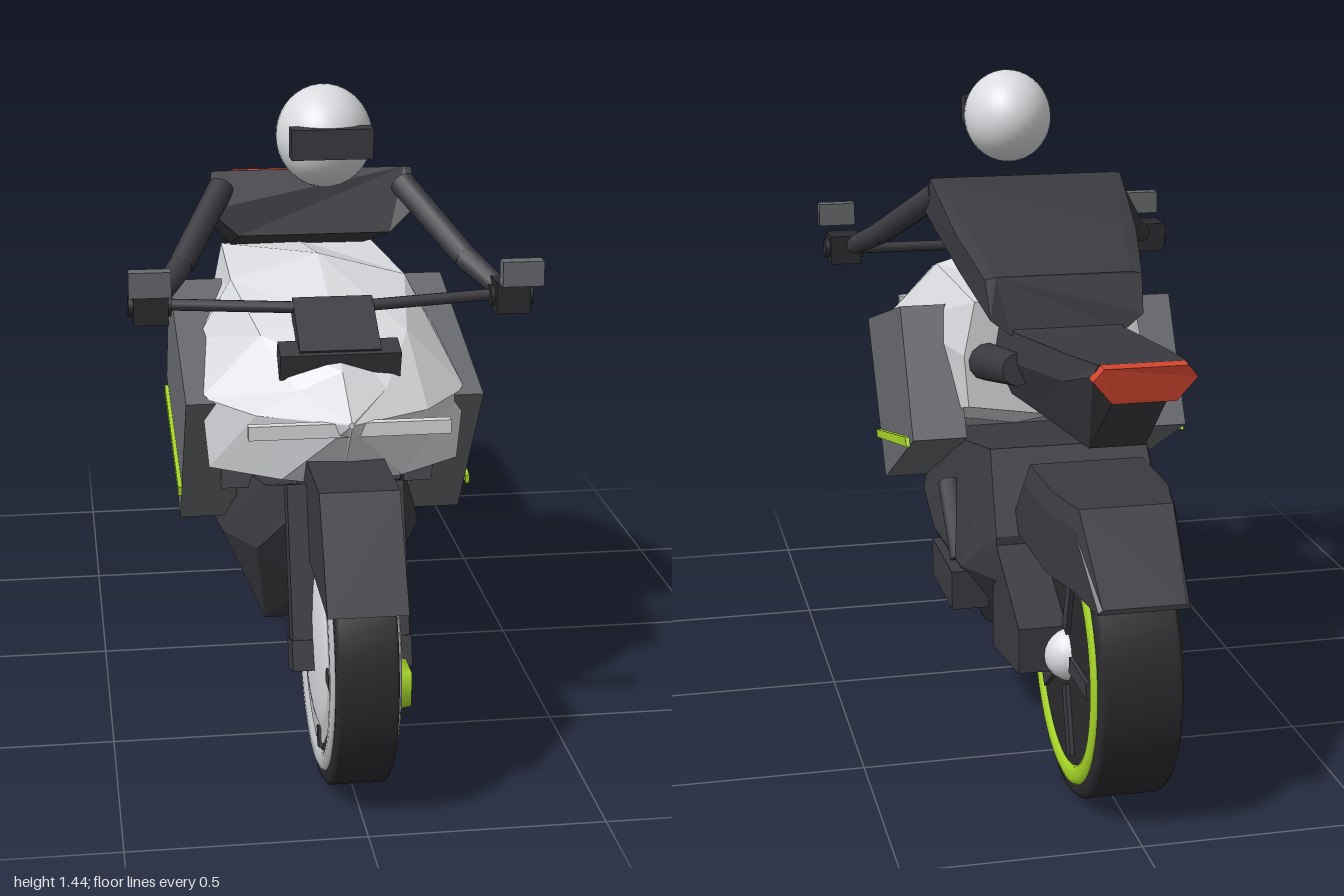
import * as THREE from 'three';

const mat = (name, color) => Object.assign(new THREE.MeshStandardMaterial({ color }), { name });

export function createModel() {
  const root = new THREE.Group();
  root.name = 'motorcycle';
  const white = mat('white paint', 0xdadcdf);
  const silver = mat('silver metal', 0xbcbdc0);
  const grey = mat('grey panel', 0x67696d);
  const dark = mat('dark body', 0x3b3a40);
  const black = mat('black rubber', 0x2b2b2f);
  const green = mat('lime accent', 0xa6d628);
  const red = mat('red light', 0xd2452f);

  const add = (name, geo, material, parent = root) => {
    const m = new THREE.Mesh(geo, material);
    m.name = name;
    parent.add(m);
    return m;
  };
  // box from its centre and size
  const box = (name, [x, y, z], [w, h, d], material, parent) => {
    const m = add(name, new THREE.BoxGeometry(w, h, d), material, parent);
    m.position.set(x, y, z);
    return m;
  };
  // round bar between two points
  const bar = (name, a, b, r0, r1, material, sides = 12) => {
    const A = new THREE.Vector3(...a), B = new THREE.Vector3(...b);
    const dir = B.clone().sub(A);
    const m = add(name, new THREE.CylinderGeometry(r1, r0, dir.length(), sides), material);
    m.position.copy(A).add(B).multiplyScalar(0.5);
    m.quaternion.setFromUnitVectors(new THREE.Vector3(0, 1, 0), dir.normalize());
    return m;
  };
  // side outline given as [z, y], extruded from x0 to x1
  const plate = (name, pts, x0, x1, material) => {
    const shape = new THREE.Shape(pts.map(([z, y]) => new THREE.Vector2(z, y)));
    const geo = new THREE.ExtrudeGeometry(shape, { depth: x1 - x0, bevelEnabled: false });
    geo.rotateY(-Math.PI / 2).translate(x1, 0, 0);
    return add(name, geo, material);
  };
  // faceted skin over mirrored half sections, front to back, each top to bottom
  const loft = (name, halves, material) => {
    const rings = halves.map(h => [
      ...h, ...h.filter(p => p[0] > 0).reverse().map(([x, y, z]) => [-x, y, z]),
    ]);
    const n = rings[0].length, pos = [];
    const tri = (...ps) => ps.forEach(p => pos.push(...p));
    for (let i = 0; i < rings.length - 1; i++) {
      for (let j = 0; j < n; j++) {
        const k = (j + 1) % n, A = rings[i], B = rings[i + 1];
        tri(A[j], A[k], B[j]);
        tri(A[k], B[k], B[j]);
      }
    }
    const F = rings[0], R = rings[rings.length - 1];
    for (let j = 1; j < n - 1; j++) {
      tri(F[0], F[j + 1], F[j]);
      tri(R[0], R[j], R[j + 1]);
    }
    const geo = new THREE.BufferGeometry();
    geo.setAttribute('position', new THREE.Float32BufferAttribute(pos, 3));
    geo.computeVertexNormals();
    return add(name, geo, material);
  };
  const at = (z, ...pts) => pts.map(([x, y]) => [x, y, z]);

  // wheels, turned about x
  const wheel = (name, z, w, rimMat) => {
    const g = new THREE.Group();
    g.name = name;
    g.position.set(0, 0.307, z);
    root.add(g);
    const tyre = [[0.26, -w], [0.285, -w], [0.3, -w * 0.97], [0.308, -w * 0.86],
      [0.308, w * 0.86], [0.3, w * 0.97], [0.285, w], [0.26, w]].map(p => new THREE.Vector2(...p));
    add('tyre', new THREE.LatheGeometry(tyre, 48).rotateZ(-Math.PI / 2), black, g);
    for (const s of [-1, 1]) {
      // rounded rim band standing slightly proud of the tyre wall
      const ring = add('rimRing', new THREE.TorusGeometry(0.258, 0.021, 10, 48), rimMat, g);
      ring.rotation.y = s * Math.PI / 2;
      ring.scale.z = 0.5;
      ring.position.x = s * (w - 0.001);
    }
    const core = add('wheelDisc', new THREE.CylinderGeometry(0.262, 0.262, 2 * w - 0.002, 48), black, g);
    core.rotation.z = Math.PI / 2;
    return g;
  };
  const fw = wheel('frontWheel', 0.69, 0.065, silver);
  const rw = wheel('rearWheel', -0.687, 0.088, green);
  for (const s of [-1, 1]) {
    // front brake disc, slots and domed hub
    const disc = add('brakeDisc', new THREE.RingGeometry(0.17, 0.222, 48), silver, fw);
    disc.rotation.y = s * Math.PI / 2;
    disc.position.x = s * 0.067;
    const dome = add('hubDome', new THREE.SphereGeometry(0.19, 40, 20), white, fw);
    dome.scale.x = 0.13;
    dome.position.x = s * 0.06;
    const cap = add('axleCap', new THREE.SphereGeometry(0.06, 20, 12), white, fw);
    cap.scale.x = 0.5;
    cap.position.x = s * 0.075;
    const hub = add('rearHub', new THREE.SphereGeometry(0.06, 20, 12), white, rw);
    hub.position.x = s * 0.075;
    for (let i = 0; i < 5; i++) {
      const a = i * Math.PI * 0.4, c = Math.cos(a), d = Math.sin(a);
      const slot = box('discSlot', [s * 0.067, 0.207 * d, 0.207 * c], [0.01, 0.03, 0.045], dark, fw);
      slot.rotation.x = -a;
      const spoke = box('spoke', [s * 0.086, 0.14 * d, -0.14 * c], [0.02, 0.035, 0.15], dark, rw);
      spoke.rotation.x = a;
    }
  }
  // brake caliper on the left of the front wheel
  const caliper = add('caliper', new THREE.CylinderGeometry(0.052, 0.059, 0.04, 4, 1, false, Math.PI / 4), green);
  caliper.rotation.z = -Math.PI / 2;
  caliper.position.set(0.082, 0.28, 0.873);

  // mudguards
  plate('frontMudguard', [[0.98, 0.475], [0.85, 0.695], [0.62, 0.695], [0.48, 0.6], [0.45, 0.5]], -0.083, 0.083, dark);
  loft('rearMudguard', [[-0.39, 0.515, 0.14], [-0.515, 0.68, 0.14], [-0.72, 0.68, 0.138], [-0.845, 0.68, 0.11], [-0.99, 0.515, 0.095]]
    .map(([z, y, w]) => at(z, [w * 0.9, y], [w, Math.max(y - 0.04, 0.51)], [w, 0.505])), dark);

  // engine hull
  loft('engineHull', [
    at(0.62, [0.07, 0.63], [0.1, 0.57], [0.05, 0.52]),
    at(0.46, [0.15, 0.58], [0.17, 0.43], [0.06, 0.33]),
    at(0.25, [0.2, 0.56], [0.23, 0.4], [0.13, 0.175]),
    at(-0.07, [0.2, 0.62], [0.26, 0.4], [0.14, 0.16]),
    at(-0.35, [0.18, 0.67], [0.25, 0.4], [0.12, 0.22]),
    at(-0.46, [0.19, 0.5], [0.19, 0.4], [0.08, 0.25]),
  ], dark);
  // grey cowl under the nose
  plate('lowerCowl', [[0.4, 0.64], [0.2, 0.64], [0.2, 0.54], [0.36, 0.54]], -0.24, 0.24, grey);

  // single swing arm
  plate('swingArm', [[-0.42, 0.5], [-0.42, 0.23], [-0.69, 0.27], [-0.69, 0.37]], 0.08, 0.19, dark);

  // tank and nose fairing
  loft('fairing', [
    at(0.738, [0, 0.806], [0.004, 0.804], [0.006, 0.8], [0.004, 0.795], [0, 0.79]),
    at(0.6, [0, 0.875], [0.095, 0.835], [0.185, 0.785], [0.13, 0.64], [0, 0.62]),
    at(0.47, [0, 0.95], [0.16, 0.925], [0.29, 0.79], [0.275, 0.63], [0, 0.61]),
    at(0.2, [0, 1.04], [0.2, 0.985], [0.275, 0.85], [0.25, 0.61], [0, 0.57]),
    at(-0.205, [0, 0.98], [0.185, 0.975], [0.21, 0.85], [0.2, 0.73], [0, 0.7]),
  ], white);
  box('noseBar', [0, 0.783, 0.708], [0.425, 0.03, 0.02], white);

  // seat tail and rear light
  loft('tail', [
    at(-0.19, [0.12, 0.965], [0.14, 0.85], [0.1, 0.755]),
    at(-0.35, [0.125, 0.935], [0.135, 0.87], [0.09, 0.765]),
    at(-0.77, [0.105, 0.985], [0.115, 0.93], [0.06, 0.785]),
    at(-0.955, [0.09, 1.008], [0.1, 0.985], [0.055, 0.94]),
  ], dark);
  loft('rearLight', [
    [[0.085, 1.008, -0.955], [0.106, 0.98, -0.945], [0.065, 0.932, -0.94]],
    [[0.085, 1.006, -0.985], [0.106, 0.98, -0.978], [0.065, 0.932, -0.972]],
  ], red);

  // rider torso, helmet and visor
  loft('torso', [
    [[0.215, 1.213, 0.09], [0.232, 1.211, 0.09], [0.24, 1.13, 0.13], [0.175, 1.07, 0.14]],
    [[0.18, 1.122, -0.13], [0.212, 1.116, -0.13], [0.205, 1.03, -0.13], [0.17, 0.99, -0.13]],
    [[0.155, 1.05, -0.3], [0.18, 1.045, -0.3], [0.175, 0.96, -0.335], [0.13, 0.925, -0.34]],
  ], dark);
  const helmet = add('helmet', new THREE.SphereGeometry(0.11, 32, 20), white);
  helmet.scale.set(0.96, 1.02, 1.19);
  helmet.position.set(0, 1.327, 0.3);
  box('visor', [0, 1.331, 0.415], [0.176, 0.065, 0.05], dark);

  // instruments
  box('instrumentPanel', [0, 0.938, 0.495], [0.175, 0.045, 0.16], dark).rotation.x = 0.55;
  box('instrumentBase', [0, 0.888, 0.545], [0.26, 0.06, 0.06], dark).rotation.x = 0.3;

  for (const s of [-1, 1]) {
    const span = (a, b) => [Math.min(s * a, s * b), Math.max(s * a, s * b)];
    // side panel with lime stripe
    plate('sidePanel', [[0.505, 0.785], [-0.02, 0.932], [-0.18, 0.65], [0.25, 0.435]], ...span(0.2, 0.326), grey);
    plate('panelStripe', [[0.33, 0.537], [-0.12, 0.643], [-0.137, 0.624], [0.33, 0.517]], ...span(0.326, 0.335), green);
    // fork leg
    const fork = box('forkLeg', [s * 0.1, 0.45, 0.68], [0.05, 0.39, 0.06], dark);
    fork.rotation.x = -0.32;
    box('forkFoot', [s * 0.1, 0.29, 0.725], [0.055, 0.065, 0.085], dark).rotation.x = -0.32;
    // arm, glove, handlebar and mirror
    bar('upperArm', [s * 0.21, 1.175, 0.1], [s * 0.32, 1.045, 0.31], 0.03, 0.028, dark);
    bar('forearm', [s * 0.32, 1.045, 0.31], [s * 0.385, 0.99, 0.42], 0.028, 0.022, dark);
    box('glove', [s * 0.395, 0.99, 0.43], [0.075, 0.07, 0.085], black);
    bar('gripEnd', [s * 0.35, 0.988, 0.43], [s * 0.443, 0.99, 0.43], 0.025, 0.025, black);
    bar('handlebar', [s * 0.37, 0.988, 0.42], [s * 0.085, 0.98, 0.45], 0.013, 0.013, dark);
    box('mirror', [s * 0.4, 1.06, 0.522], [0.09, 0.055, 0.035], grey);
    // thigh support, foot bracket and footrest
    bar('thighSupport', [s * 0.16, 0.83, -0.17], [s * 0.13, 0.865, -0.41], 0.045, 0.036, dark);
    bar('footBracket', [s * 0.235, 0.53, -0.13], [s * 0.235, 0.39, -0.28], 0.025, 0.025, dark, 8);
    box('footrest', [s * 0.23, 0.345, -0.238], [0.085, 0.09, 0.245], dark);
  }
  return root;
}
